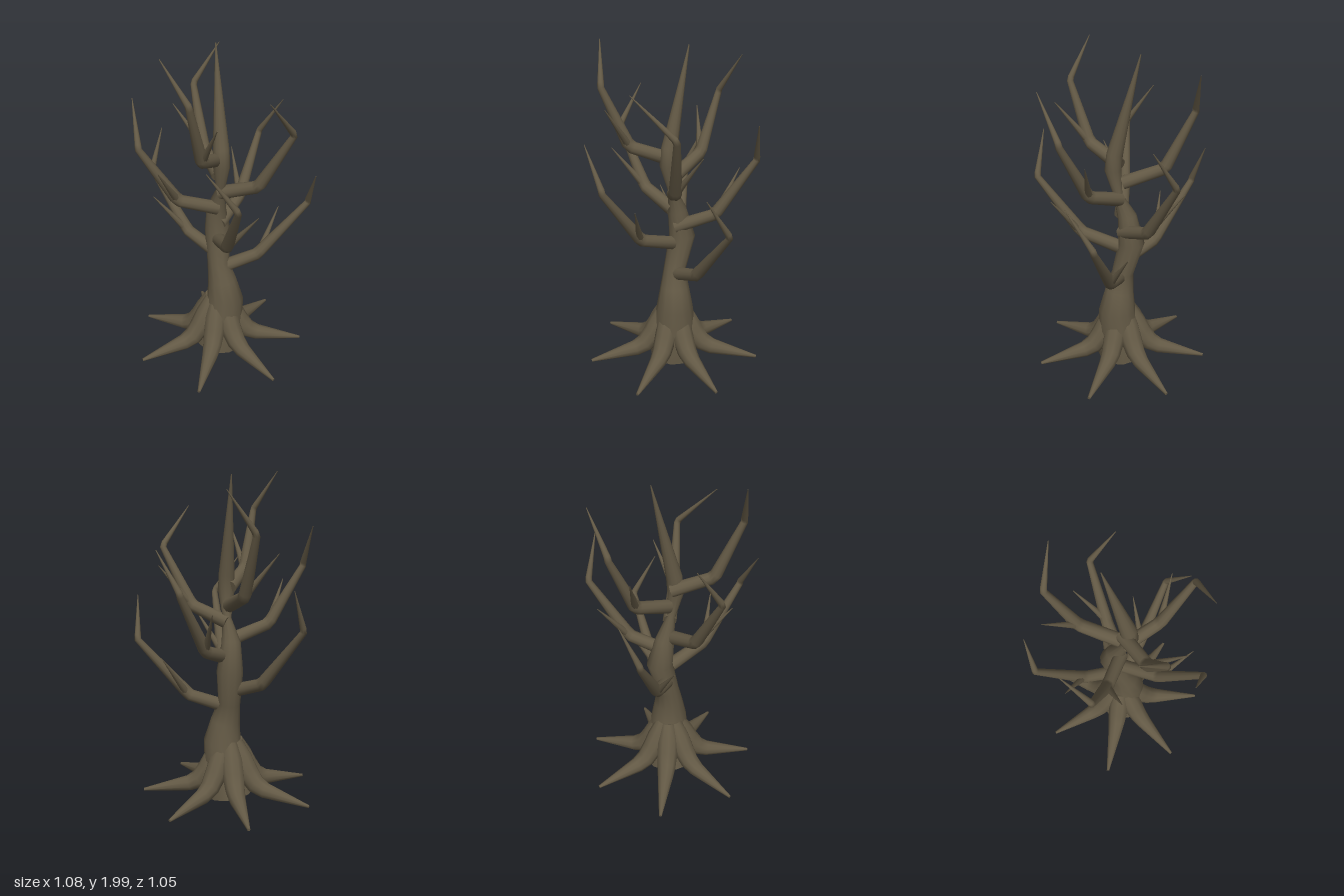
import * as THREE from 'three';

const bark = new THREE.MeshStandardMaterial({ color: 0x635945 });
bark.name = 'bark brown';

// Loft of round sections along a path of [x, y, z, radius], closed at both ends
function limb(name, path, sides) {
  const pts = path.map(p => new THREE.Vector3(p[0], p[1], p[2]));
  const last = pts.length - 1;
  const dir = i => pts[i + 1].clone().sub(pts[i]).normalize();
  const rings = [];
  let side = new THREE.Vector3(0.31, 0.05, 0.95);
  for (let i = 0; i <= last; i++) {
    const t = i === 0 ? dir(0) : i === last ? dir(last - 1) : dir(i - 1).add(dir(i)).normalize();
    const u = side.clone().addScaledVector(t, -side.dot(t)).normalize();
    const v = t.clone().cross(u);
    side = u;
    const ring = { c: pts[i], u, v, r: path[i][3] };
    if (i === 0) rings.push({ ...ring, r: 0 }, ring); // flat, sharp-edged start cap
    rings.push(ring);
    if (i === last) rings.push(ring, { ...ring, r: 0 });
  }
  const pos = [], idx = [];
  rings.forEach((k, i) => {
    for (let j = 0; j < sides; j++) {
      const a = (j / sides) * Math.PI * 2;
      const p = k.c.clone().addScaledVector(k.u, k.r * Math.cos(a)).addScaledVector(k.v, k.r * Math.sin(a));
      pos.push(p.x, p.y, p.z);
      if (i === 0) continue;
      const n = (j + 1) % sides, lo = (i - 1) * sides, hi = i * sides;
      idx.push(lo + j, lo + n, hi + j, lo + n, hi + n, hi + j);
    }
  });
  const g = new THREE.BufferGeometry();
  g.setAttribute('position', new THREE.Float32BufferAttribute(pos, 3));
  g.setIndex(idx);
  g.computeVertexNormals();
  const mesh = new THREE.Mesh(g, bark);
  mesh.name = name;
  return mesh;
}

export function createModel() {
  const tree = new THREE.Group();
  tree.name = 'bareTree';

  // Crooked trunk: pinched below the top, ending in a long spike
  tree.add(limb('trunk', [
    [0, 0.03, 0, 0.15],
    [0.035, 0.37, -0.025, 0.115],
    [0.015, 0.5, -0.015, 0.09],
    [-0.01, 0.62, -0.005, 0.068],
    [-0.055, 0.83, -0.035, 0.08],
    [-0.035, 1.0, -0.01, 0.058],
    [0.018, 1.14, 0, 0.026],
    [0.045, 1.3, 0.015, 0.05],
    [0.035, 1.4, 0.01, 0.048],
    [-0.095, 1.975, -0.055, 0.003],
  ], 12));

  // Seven roots spread evenly around the foot
  const rootProfile = [
    [0.045, 0.37, 0.045], [0.085, 0.27, 0.067], [0.125, 0.19, 0.068],
    [0.185, 0.115, 0.06], [0.25, 0.085, 0.05], [0.535, 0.04, 0.009],
  ];
  for (let i = 0; i < 7; i++) {
    const a = (i / 7) * Math.PI * 2;
    tree.add(limb('root', rootProfile.map(([d, y, r]) => [d * Math.cos(a), y, d * Math.sin(a), r]), 10));
  }

  // Branches: elbow x, y, z; tip x, z; twig tip x, z
  const branches = [
    [0.295, 1.03, -0.455, 0.425, -0.37, 0.09, -0.41],
    [-0.505, 1.13, 0.13, -0.54, 0.025, -0.34, 0.24],
    [0.45, 1.235, 0.23, 0.37, 0.375, 0.415, 0.05],
    [-0.165, 1.34, -0.455, -0.01, -0.505, -0.27, -0.32],
    [-0.175, 1.45, 0.43, -0.325, 0.36, -0.015, 0.415],
    [0.405, 1.555, -0.195, 0.465, 0.04, 0.295, -0.3],
    [-0.4, 1.66, -0.125, -0.35, -0.285, -0.42, 0.02],
    [0.203, 1.765, 0.35, 0.06, 0.425, 0.32, 0.265],
  ];
  for (const [ex, ey, ez, tx, tz, wx, wz] of branches) {
    const d = Math.hypot(ex, ez), cx = ex / d, cz = ez / d;
    const base = ey - 0.44, knee = ey - 0.355;
    const group = new THREE.Group();
    group.name = 'branch';
    group.add(limb('bough', [
      [0.01 * cx, base, 0.01 * cz, 0.042],
      [0.235 * cx, knee - 0.005, 0.235 * cz, 0.038],
      [0.265 * cx, knee + 0.025, 0.265 * cz, 0.037],
      [ex, ey - 0.01, ez, 0.02],
      [ex + (tx - ex) * 0.05, ey + 0.015, ez + (tz - ez) * 0.05, 0.019],
      [tx, ey + 0.235, tz, 0.002],
    ], 10));
    // Thin side twig growing from the bend
    group.add(limb('twig', [
      [0.25 * cx, knee, 0.25 * cz, 0.025],
      [wx, knee + 0.25, wz, 0.002],
    ], 8));
    tree.add(group);
  }
  return tree;
}
